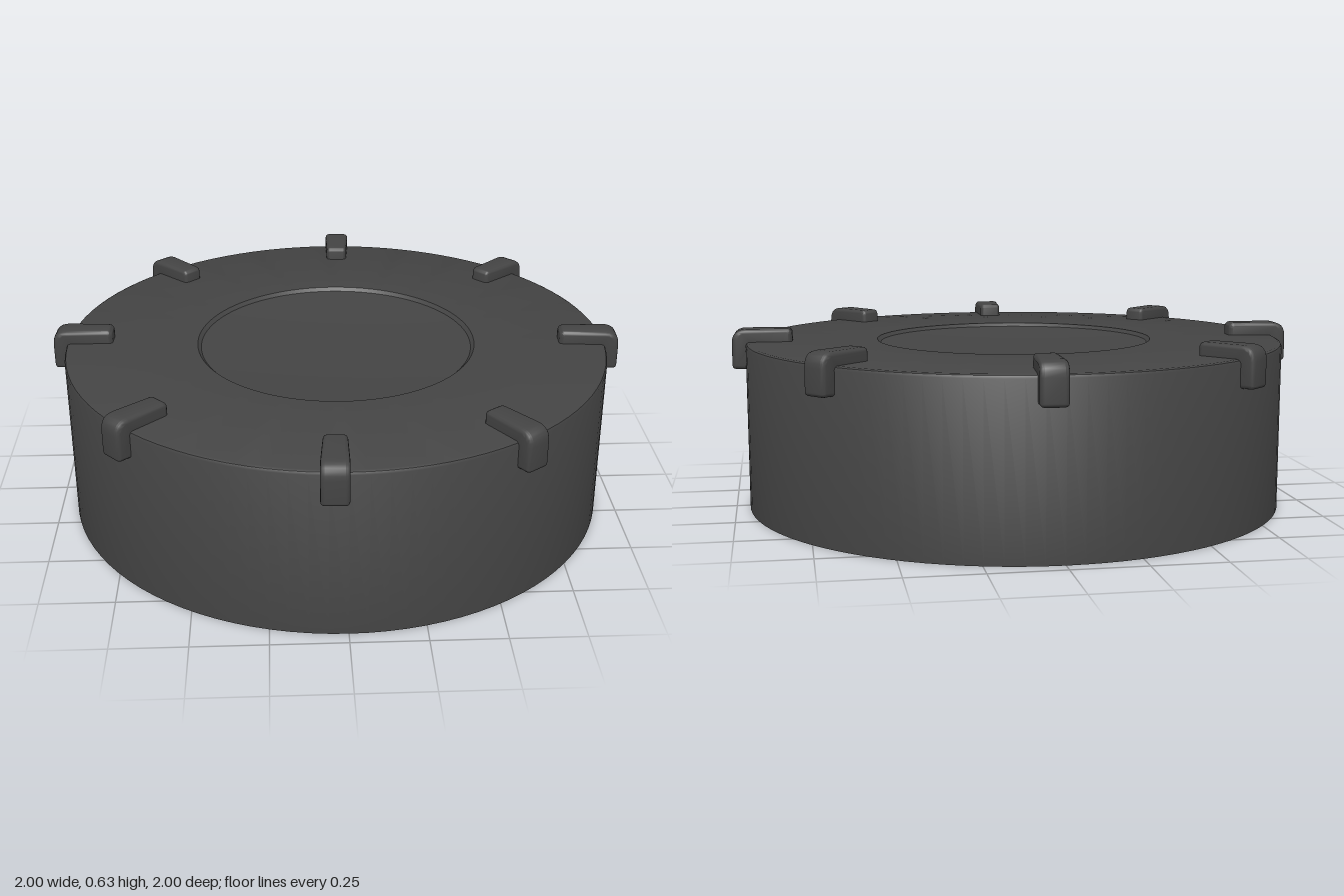
import * as THREE from 'three';
import { toCreasedNormals } from 'three/addons/utils/BufferGeometryUtils.js';

const RADIUS = 0.953, TOP = 0.585;

export function createModel() {
  const group = new THREE.Group();
  const material = new THREE.MeshStandardMaterial({ color: 0x444444, side: THREE.DoubleSide });

  // Hollow cap: open at the bottom, thin wall, soft rim, dished centre
  const profile = [
    [RADIUS, 0], [RADIUS, TOP - 0.012], [RADIUS - 0.004, TOP - 0.004], [RADIUS - 0.012, TOP],
    [0.49, TOP], [0.478, TOP - 0.012],
  ].map(([r, y]) => new THREE.Vector2(r, y));
  for (let i = 1; i <= 8; i++) {
    const r = 0.478 * (1 - i / 8);
    profile.push(new THREE.Vector2(r, TOP - 0.012 - 0.018 * (1 - (r / 0.478) ** 2)));
  }
  const cap = new THREE.Mesh(
    toCreasedNormals(new THREE.LatheGeometry(profile, 96), 0.6), material);
  cap.name = 'cap';
  group.add(cap);

  // Hooked clip: arm lying on the top, leg bent down over the rim
  const inner = 0.79, outer = 1, low = 0.49, high = 0.63, leg = 0.932, under = 0.56;
  const s = new THREE.Shape();
  s.moveTo(inner, under);
  s.lineTo(leg - 0.02, under);
  s.quadraticCurveTo(leg, under, leg, under - 0.02);
  s.lineTo(leg, low);
  s.lineTo(outer - 0.015, low);
  s.quadraticCurveTo(outer, low, outer, low + 0.015);
  s.lineTo(outer, high - 0.05);
  s.quadraticCurveTo(outer, high, outer - 0.05, high);
  s.lineTo(inner + 0.02, high);
  s.quadraticCurveTo(inner, high, inner, high - 0.02);
  s.closePath();
  const width = 0.09, bevel = 0.014;
  const clipGeometry = new THREE.ExtrudeGeometry(s, {
    depth: width - 2 * bevel, bevelEnabled: true, bevelSize: bevel, bevelThickness: bevel,
    bevelOffset: -bevel, bevelSegments: 3, curveSegments: 6,
  });
  clipGeometry.translate(0, 0, bevel - width / 2);

  // Arm narrows slightly toward the centre
  const p = clipGeometry.attributes.position;
  for (let i = 0; i < p.count; i++) {
    const t = THREE.MathUtils.clamp((p.getX(i) - inner) / (leg - inner), 0, 1);
    p.setZ(i, p.getZ(i) * (0.85 + 0.15 * t));
  }
  const clipSmooth = toCreasedNormals(clipGeometry, 0.7);

  // Eight clips around the rim, one set slightly off the even spacing
  for (let k = 0; k < 8; k++) {
    const degrees = 2.6 + 45 * k + (k === 1 ? 6 : 0);
    const clip = new THREE.Mesh(clipSmooth, material);
    clip.name = `rimClip${k + 1}`;
    clip.rotation.y = -THREE.MathUtils.degToRad(degrees);
    group.add(clip);
  }
  return group;
}
